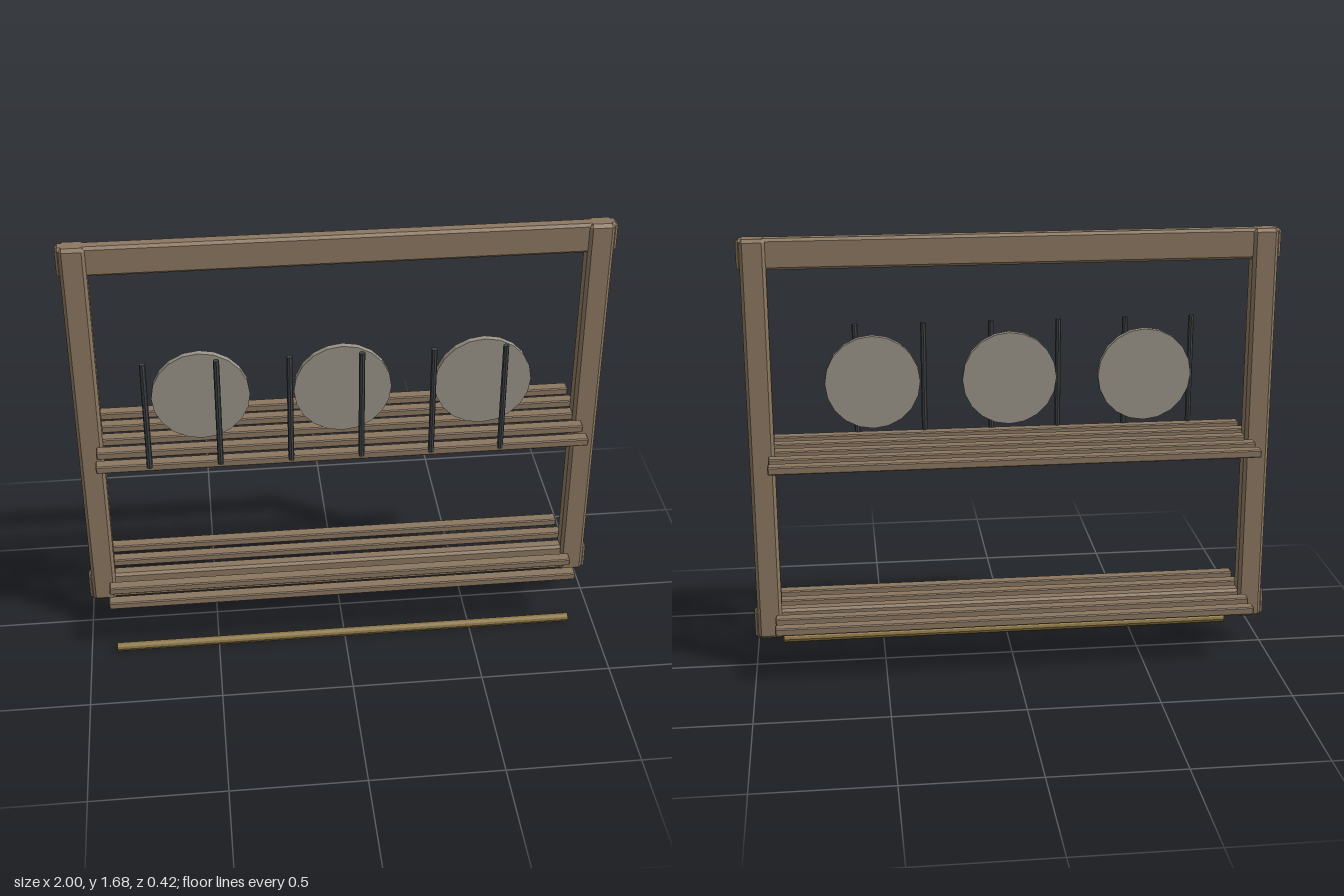
import * as THREE from 'three';
import { ConvexGeometry } from 'three/addons/geometries/ConvexGeometry.js';

const wood = new THREE.MeshStandardMaterial({ color: 0x8b7760, flatShading: true });
const steel = new THREE.MeshStandardMaterial({ color: 0x404346, flatShading: true });
const brass = new THREE.MeshStandardMaterial({ color: 0x8b7545, flatShading: true });
const stone = new THREE.MeshStandardMaterial({ color: 0x9b9488, flatShading: true });

const MID_Z = -0.006; // centre plane of frame and shelves
const ROD_Z = 0.195;  // plane of the front rods

// Box with all edges chamfered by c
function chamferBox(w, h, d, c) {
  const points = [];
  for (const sx of [-1, 1]) for (const sy of [-1, 1]) for (const sz of [-1, 1]) {
    for (const [a, b, e] of [[0, c, c], [c, 0, c], [c, c, 0]]) {
      points.push(new THREE.Vector3(sx * (w / 2 - a), sy * (h / 2 - b), sz * (d / 2 - e)));
    }
  }
  return new ConvexGeometry(points);
}

export function createModel() {
  const model = new THREE.Group();
  model.name = 'wallRack';

  const add = (parent, name, geometry, material, x, y, z) => {
    const mesh = new THREE.Mesh(geometry, material);
    mesh.name = name;
    mesh.position.set(x, y, z);
    parent.add(mesh);
    return mesh;
  };

  // Frame: two posts joined by two beams whose ends pass through the posts
  const frame = new THREE.Group();
  frame.name = 'frame';
  model.add(frame);
  const post = chamferBox(0.094, 1.555, 0.076, 0.012);
  for (const side of [-1, 1]) {
    add(frame, side > 0 ? 'leftPost' : 'rightPost', post, wood, side * 0.941, 0.9025, MID_Z);
  }
  const beam = chamferBox(2, 0.115, 0.054, 0.01);
  add(frame, 'topBeam', beam, wood, 0, 1.6225, MID_Z);
  add(frame, 'bottomBeam', beam, wood, 0, 0.1825, MID_Z);

  // Two shelves of five slats each
  const slat = chamferBox(1.834, 0.03, 0.046, 0.004);
  for (const [name, y] of [['upperShelf', 0.862], ['lowerShelf', 0.223]]) {
    const shelf = new THREE.Group();
    shelf.name = name;
    model.add(shelf);
    for (let i = -2; i <= 2; i++) add(shelf, 'slat', slat, wood, 0, y, MID_Z + i * 0.0905);
  }

  // Upright rods along the front edge of the upper shelf
  const rod = new THREE.CylinderGeometry(0.011, 0.011, 0.44, 8);
  for (let i = 0; i < 6; i++) add(model, 'uprightRod', rod, steel, -0.72 + i * 0.26, 1.083, ROD_Z);

  // Three upright discs behind the rods
  const disc = new THREE.CylinderGeometry(0.18, 0.18, 0.024, 20).rotateX(Math.PI / 2);
  for (const x of [-0.52, 0, 0.52]) add(model, 'disc', disc, stone, x, 1.102, 0.096);

  // Low horizontal rail in front
  const rail = new THREE.CylinderGeometry(0.017, 0.017, 1.8, 10).rotateZ(Math.PI / 2);
  add(model, 'footRail', rail, brass, 0, 0.017, ROD_Z);

  return model;
}
